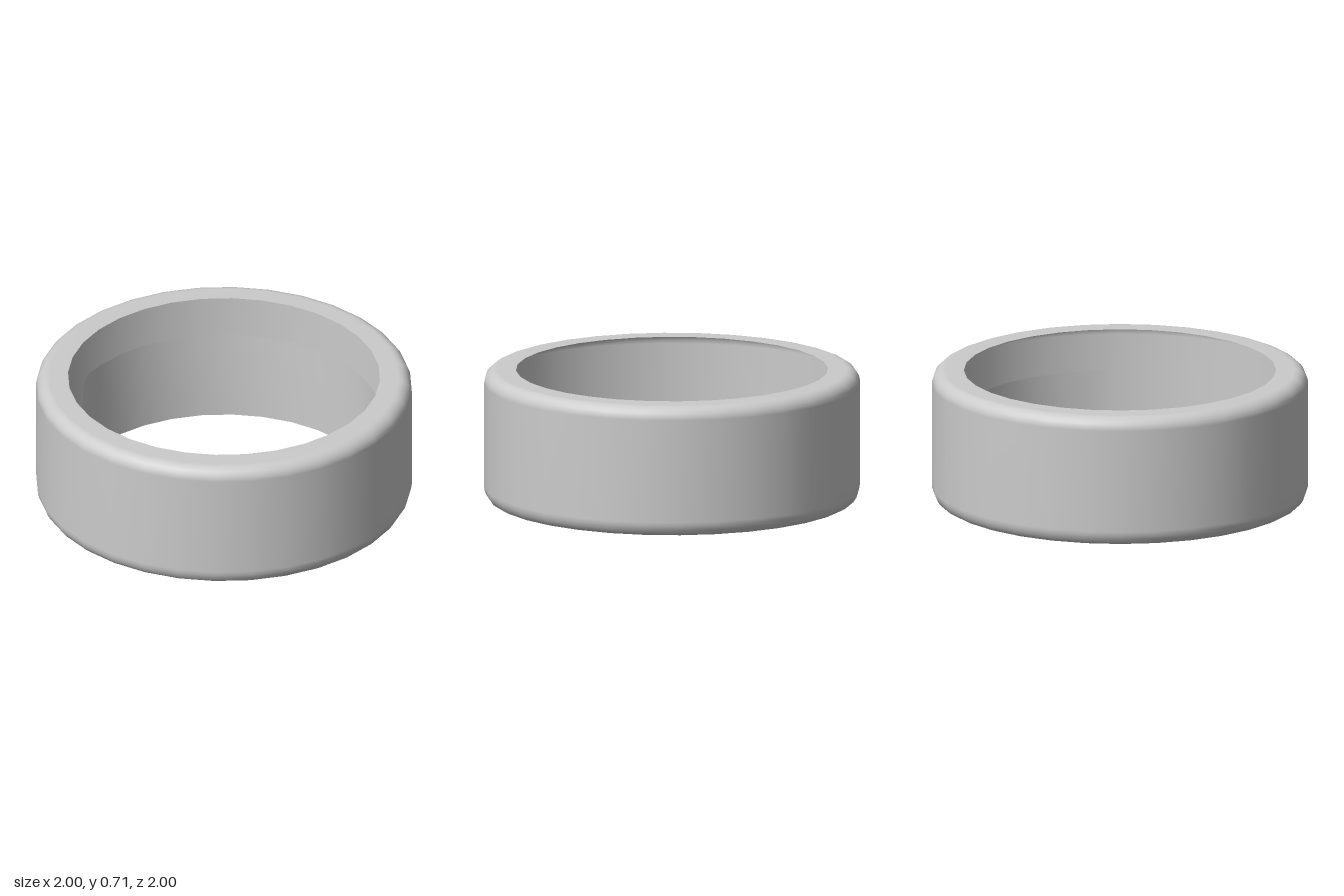
import * as THREE from 'three';

const material = new THREE.MeshStandardMaterial({ color: 0xcccccc, side: THREE.DoubleSide });
const SEGMENTS = 32;
const INNER_RADIUS = 0.83;

// Open-bottomed ring: curled lower lip, straight wall, rounded shoulder, flat top flange
function makeShell() {
  const points = [[0.96, 0.015], [0.976, 0.024], [0.99, 0.046], [0.998, 0.068], [1, 0.09]];
  const fillet = 0.07;
  for (let i = 0; i <= 6; i++) {
    const t = (i / 6) * Math.PI / 2;
    points.push([1 - fillet + fillet * Math.cos(t), 0.715 - fillet + fillet * Math.sin(t)]);
  }
  points.push([INNER_RADIUS, 0.715]);
  const profile = points.map(([r, y]) => new THREE.Vector2(r, y));
  const shell = new THREE.Mesh(new THREE.LatheGeometry(profile, SEGMENTS), material);
  shell.name = 'outerShell';
  return shell;
}

// Thin half-round skirt inside the back, with rounded upper corners
function makeSkirt() {
  const height = 0.49, corner = 0.08, cornerSteps = 6;
  const cornerAngle = corner / INNER_RADIUS;

  // Columns of angle and top height, from the left end round to the right end
  const start = [];
  for (let i = 0; i <= cornerSteps; i++) {
    const t = (i / cornerSteps) * Math.PI / 2;
    start.push([cornerAngle * (1 - Math.cos(t)), height - corner + corner * Math.sin(t)]);
  }
  const middle = [];
  for (let i = 1; i < SEGMENTS / 2; i++) middle.push([(i / SEGMENTS) * Math.PI * 2, height]);
  const end = start.map(([a, h]) => [Math.PI - a, h]).reverse();
  const columns = [...start, ...middle, ...end];

  // Bend a flat strip onto the columns
  const geometry = new THREE.PlaneGeometry(1, 1, columns.length - 1, 1);
  const position = geometry.attributes.position;
  for (let i = 0; i < position.count; i++) {
    const [angle, top] = columns[i % columns.length];
    const y = i < columns.length ? top : 0;
    position.setXYZ(i, INNER_RADIUS * Math.cos(angle), y, -INNER_RADIUS * Math.sin(angle));
  }
  geometry.computeVertexNormals();
  const skirt = new THREE.Mesh(geometry, material);
  skirt.name = 'innerSkirt';
  return skirt;
}

export function createModel() {
  const group = new THREE.Group();
  group.name = 'ringCap';
  group.add(makeShell(), makeSkirt());
  return group;
}
